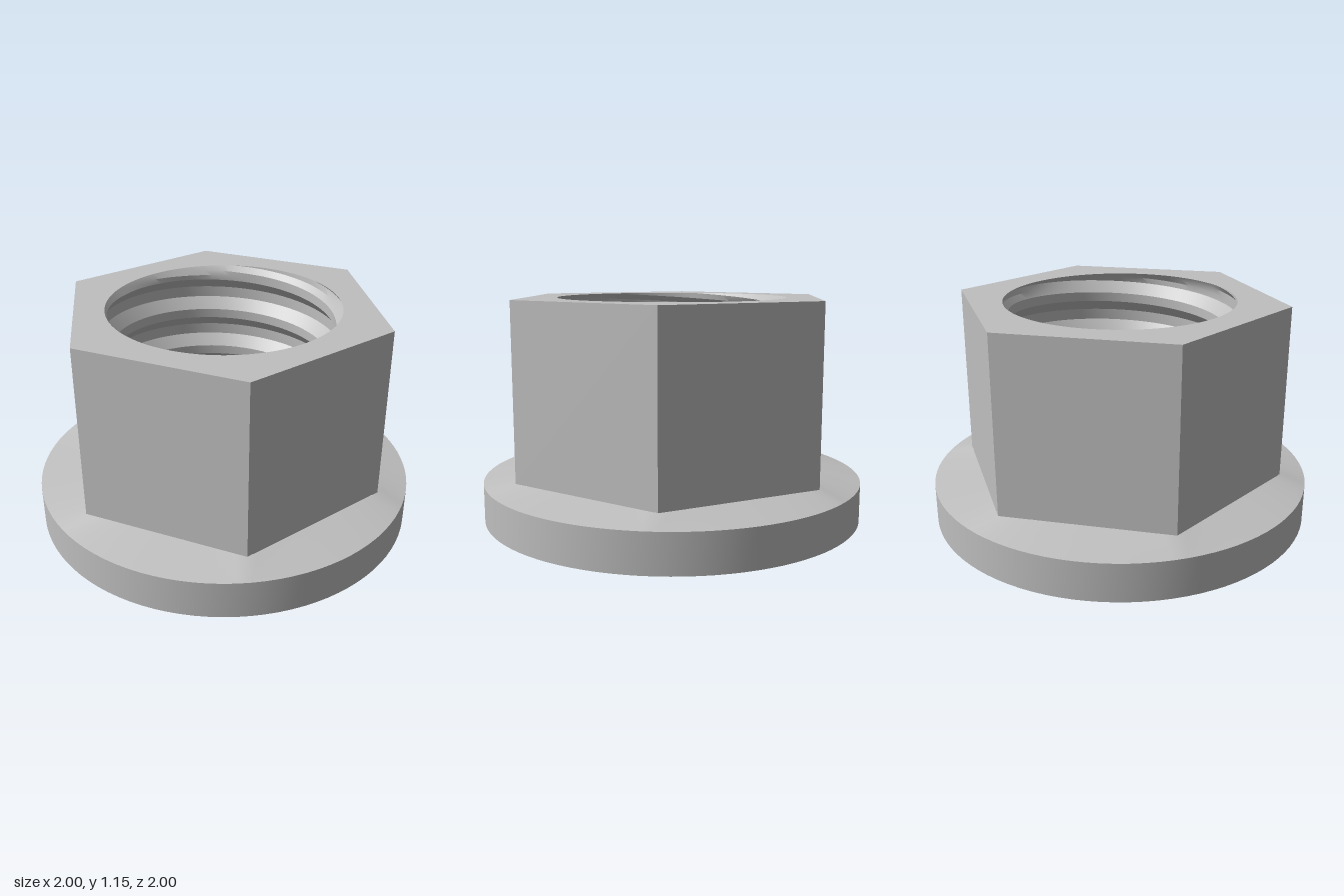
import * as THREE from 'three';
import { toCreasedNormals } from 'three/addons/utils/BufferGeometryUtils.js';

const SEG = 96;
const HEIGHT = 1.15, FLANGE_Y = 0.2, HEX_Y = 0.24;
const HEX_R = 0.866, FLAT = 0.75, FLANGE_R = 1;
const TOP_HOLE = 0.597, BOTTOM_HOLE = 0.613;
const MINOR_R = 0.568, MAJOR_R = 0.62, PITCH = 0.23;

// Surface wrapped round the y axis; at(angle, row) gives [radius, height].
function wrap(rows, at, inward = false) {
  const positions = [], index = [];
  for (let j = 0; j <= rows; j++) {
    for (let i = 0; i <= SEG; i++) {
      const t = (i / SEG) * Math.PI * 2;
      const [r, y] = at(t, j);
      positions.push(r * Math.cos(t), y, -r * Math.sin(t));
    }
  }
  for (let j = 0; j < rows; j++) {
    for (let i = 0; i < SEG; i++) {
      const a = j * (SEG + 1) + i, b = a + 1, c = a + SEG + 1, d = c + 1;
      if (inward) index.push(a, d, b, a, c, d);
      else index.push(a, b, d, a, d, c);
    }
  }
  const g = new THREE.BufferGeometry();
  g.setAttribute('position', new THREE.Float32BufferAttribute(positions, 3));
  g.setIndex(index);
  return toCreasedNormals(g, 0.45);
}

// Distance from the axis to the hexagon's edge
function hexRadius(t) {
  const step = Math.PI / 3;
  return FLAT / Math.cos((t % step) - step / 2);
}

// One pitch of thread: root, lower flank, crest, upper flank
const PROFILE = [
  [0, MAJOR_R], [0.13, MAJOR_R], [0.26, MAJOR_R], [0.39, (MAJOR_R + MINOR_R) / 2],
  [0.52, MINOR_R], [0.63, MINOR_R], [0.74, MINOR_R], [0.87, (MAJOR_R + MINOR_R) / 2],
];

// Helical thread, trimmed at both ends and eased into the round openings
function threadPoint(t, row) {
  const n = PROFILE.length;
  const [offset, radius] = PROFILE[row % n];
  const turn = Math.floor(row / n) - 1 + offset + t / (Math.PI * 2);
  const y = THREE.MathUtils.clamp(turn * PITCH, 0, HEIGHT);
  const end = y > HEIGHT / 2 ? TOP_HOLE : BOTTOM_HOLE;
  const ease = Math.min(1, Math.min(y, HEIGHT - y) / 0.035);
  return [THREE.MathUtils.lerp(end, radius, ease), y];
}

export function createModel() {
  const model = new THREE.Group();
  model.name = 'flangedNut';
  const steel = new THREE.MeshStandardMaterial({ color: 0xbfbfbf });
  steel.name = 'steel grey';

  const add = (name, geometry) => {
    const mesh = new THREE.Mesh(geometry, steel);
    mesh.name = name;
    model.add(mesh);
    return mesh;
  };

  // Hexagonal body sides
  const hex = new THREE.CylinderGeometry(
    HEX_R, HEX_R, HEIGHT - HEX_Y, 6, 1, true, Math.PI / 6).toNonIndexed();
  hex.computeVertexNormals();
  add('hexSides', hex).position.y = (HEIGHT + HEX_Y) / 2;

  // Top face with round opening
  const shape = new THREE.Shape();
  for (let i = 0; i < 6; i++) {
    const a = (i * Math.PI) / 3;
    shape[i ? 'lineTo' : 'moveTo'](HEX_R * Math.cos(a), HEX_R * Math.sin(a));
  }
  shape.closePath();
  shape.holes.push(new THREE.Path().absarc(0, 0, TOP_HOLE, 0, Math.PI * 2, true));
  const top = new THREE.ShapeGeometry(shape, SEG / 2);
  top.rotateX(-Math.PI / 2);
  add('topFace', top).position.y = HEIGHT;

  // Flange: rim, sloped top running from circle to hexagon, and seat
  add('flangeRim', wrap(1, (t, j) => [FLANGE_R, j * FLANGE_Y]));
  add('flangeSlope', wrap(1, (t, j) => (j ? [hexRadius(t), HEX_Y] : [FLANGE_R, FLANGE_Y])));
  const seat = new THREE.RingGeometry(BOTTOM_HOLE, FLANGE_R, SEG);
  seat.rotateX(Math.PI / 2);
  add('flangeSeat', seat);

  // Threaded bore
  const turns = Math.ceil(HEIGHT / PITCH) + 2;
  add('threadedBore', wrap(turns * PROFILE.length, threadPoint, true));

  return model;
}
